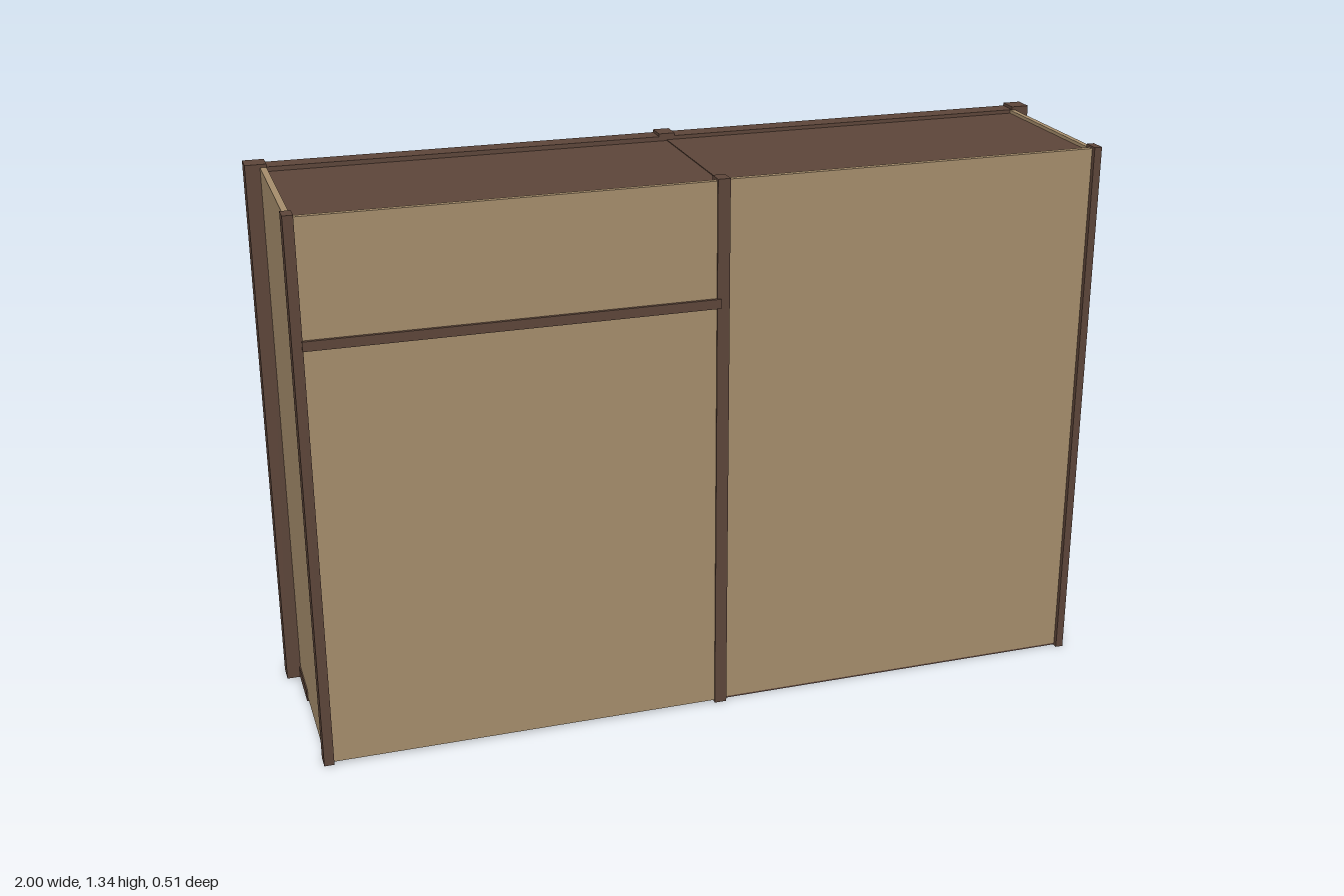
import * as THREE from 'three';

export function createModel() {
  const group = new THREE.Group();
  group.name = 'wardrobeWall';

  const mat = (name, color) => {
    const m = new THREE.MeshStandardMaterial({ color });
    m.name = name;
    return m;
  };
  const wood = mat('darkWood', 0x5e463a);
  const board = mat('tanBoard', 0xa88f6d);
  const grey = mat('drawerGrey', 0xb8b8b8);

  // Box given by its lower and upper corner
  const box = (name, material, [x0, y0, z0], [x1, y1, z1], parent = group) => {
    const mesh = new THREE.Mesh(new THREE.BoxGeometry(x1 - x0, y1 - y0, z1 - z0), material);
    mesh.position.set((x0 + x1) / 2, (y0 + y1) / 2, (z0 + z1) / 2);
    mesh.name = name;
    parent.add(mesh);
    return mesh;
  };

  // Posts of the open back and the closed front
  const H = 1.343;
  for (const [x0, x1] of [[-1, -0.95], [0, 0.04], [0.955, 1]])
    box('backPost', wood, [x0, 0, -0.25], [x1, H, -0.2]);
  box('backCentrePostFace', wood, [-0.005, 0, -0.253], [0.045, 1.06, -0.2]);
  for (const [x0, x1] of [[-0.972, -0.948], [0, 0.03], [0.948, 0.967]])
    box('frontPost', wood, [x0, 0, 0.21], [x1, H, 0.25]);

  // Back rails and header panels, one set for each bay
  for (const [x0, x1] of [[-0.95, 0], [0.04, 0.955]]) {
    box('topRail', wood, [x0, 1.295, -0.25], [x1, 1.336, -0.2]);
    box('middleRail', wood, [x0, 1.035, -0.25], [x1, 1.06, -0.215]);
    box('bottomRail', wood, [x0, 0, -0.25], [x1, 0.035, -0.2]);
    box('headerPanel', board, [x0, 1.06, -0.236], [x1, 1.295, -0.224]);
  }

  // Floor and roof slabs
  box('floor', wood, [-0.956, 0, -0.2], [0.956, 0.03, 0.235]);
  box('roofRight', wood, [-0.952, 1.31, -0.2], [0.02, 1.325, 0.232]);
  box('roofLeft', wood, [0.02, 1.31, -0.2], [0.956, 1.327, 0.223]);

  // Outer walls and the partition
  box('sidePanelRight', board, [-0.965, 0.008, -0.2], [-0.95, 1.335, 0.22]);
  box('sidePanelLeft', board, [0.95, 0.008, -0.2], [0.963, 1.335, 0.22]);
  box('frontPanelRight', board, [-0.95, 0.006, 0.233], [0, 1.338, 0.246]);
  box('frontPanelLeft', board, [0.03, 0.006, 0.224], [0.95, 1.338, 0.238]);
  box('partition', board, [0.008, 0.03, -0.2], [0.028, 1.31, 0.222]);

  // Slab edges showing through the side panels
  box('roofEdge', wood, [0.955, 1.308, -0.2], [0.966, 1.325, 0.03]);
  box('floorEdge', wood, [0.955, 0, -0.2], [0.966, 0.03, -0.07]);
  box('floorEdge', wood, [-0.968, 0, -0.2], [-0.955, 0.03, -0.07]);

  // Full-depth upper shelf, its edge showing at the front
  box('upperShelf', wood, [-0.95, 1.037, -0.22], [0.008, 1.06, 0.254]);

  // Low platform in the left bay
  box('platform', wood, [0.028, 0.03, -0.11], [0.95, 0.12, 0.224]);

  // Stepped shelves with a bracket between them
  box('highShelf', wood, [-0.64, 0.64, 0.035], [0.008, 0.67, 0.233]);
  box('lowShelf', wood, [-0.95, 0.43, 0], [-0.37, 0.46, 0.233]);
  box('shelfBracket', wood, [-0.49, 0.46, 0.08], [-0.46, 0.64, 0.16]);

  // Drawer chest with four fronts and paired knobs
  const chest = new THREE.Group();
  chest.name = 'drawerChest';
  group.add(chest);
  box('chestBody', wood, [-0.95, 0.03, -0.14], [0.008, 0.18, 0.233], chest);
  const w = 0.239;
  for (let i = 0; i < 4; i++) {
    const x1 = -0.001 - i * w, x0 = x1 - w + 0.012;
    box('drawerFront', grey, [x0, 0.045, -0.147], [x1, 0.162, -0.14], chest);
    const knob = new THREE.Mesh(new THREE.SphereGeometry(0.01, 12, 8), wood);
    knob.position.set(i % 2 ? x0 + 0.02 : x1 - 0.02, 0.09, -0.152);
    knob.name = 'drawerKnob';
    chest.add(knob);
  }
  return group;
}
